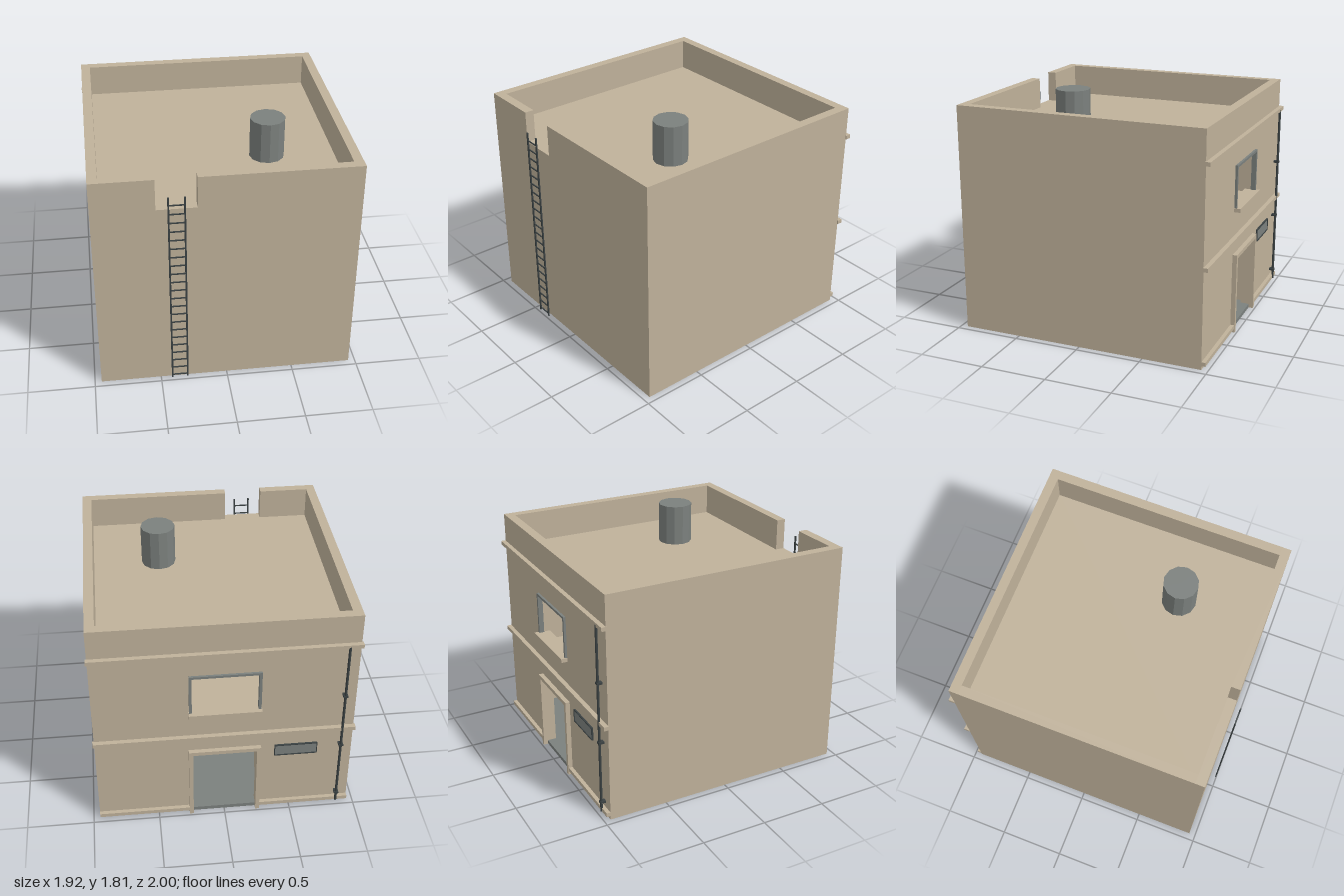
import * as THREE from 'three';

const mat = (name, color) => Object.assign(new THREE.MeshStandardMaterial({ color }), { name });
const plaster = mat('plaster', 0xbfb19a);
const grey = mat('grey metal', 0x7b807d);
const dark = mat('dark iron', 0x3b4243);

export function createModel() {
  const model = new THREE.Group();
  model.name = 'house';

  const add = (name, geometry, material, parent = model) => {
    const mesh = new THREE.Mesh(geometry, material);
    mesh.name = name;
    parent.add(mesh);
    return mesh;
  };
  // Box given by its lower and upper corners
  const box = (name, material, x0, y0, z0, x1, y1, z1, parent = model) => {
    const mesh = add(name, new THREE.BoxGeometry(x1 - x0, y1 - y0, z1 - z0), material, parent);
    mesh.position.set((x0 + x1) / 2, (y0 + y1) / 2, (z0 + z1) / 2);
    return mesh;
  };
  const group = (name) => {
    const g = new THREE.Group();
    g.name = name;
    model.add(g);
    return g;
  };
  const outline = (points) => points.map(([x, y]) => new THREE.Vector2(x, y));

  const W = 0.95, T = 0.07, I = W - T, H = 1.74, ROOF = 1.5;
  const extrude = (shape) => new THREE.ExtrudeGeometry(shape, { depth: T, bevelEnabled: false });

  // Front wall with the parapet gap for the ladder
  const front = new THREE.Shape(outline([[-W, 0], [W, 0], [W, H], [-0.21, H], [-0.21, ROOF], [-0.5, ROOF], [-0.5, H], [-W, H]]));
  add('frontWall', extrude(front), plaster).position.z = I;

  // Back wall with doorway and window opening
  const back = new THREE.Shape(outline([[-W, 0], [-0.24, 0], [-0.24, 0.6], [0.24, 0.6], [0.24, 0], [W, 0], [W, H], [-W, H]]));
  back.holes.push(new THREE.Path(outline([[-0.25, 0.99], [-0.25, 1.31], [0.25, 1.31], [0.25, 0.99]])));
  add('backWall', extrude(back), plaster).position.z = -W;

  // Side walls
  for (const s of [-1, 1]) {
    const c = s * (W - T / 2);
    box('sideWall', plaster, c - T / 2, 0, -I, c + T / 2, H, I);
  }

  // Floors and roof
  box('groundFloor', grey, -I, 0, -I, I, 0.03, I);
  box('doorThreshold', grey, -0.24, 0, -W, 0.24, 0.03, -I);
  box('upperFloor', plaster, -I, 0.73, -I, I, 0.77, I);
  box('roof', plaster, -I, ROOF - 0.04, -I, I, ROOF, I);

  // Inner partitions
  box('hallPartition', plaster, -0.33, 0.03, -I, -0.29, 0.73, -0.53);
  box('hallBackWall', plaster, 0.2, 0.03, -0.55, I, 0.73, -0.5);
  box('upperPartition', plaster, 0.55, 0.77, -I, 0.6, 1.46, -0.28);

  // Water tank on the roof
  const tank = add('roofTank', new THREE.CylinderGeometry(0.13, 0.13, 0.31, 12).toNonIndexed(), grey);
  tank.geometry.computeVertexNormals();
  tank.position.set(0.38, ROOF + 0.155, 0.29);

  // Ladder
  const ladder = group('ladder');
  for (const x of [-0.416, -0.302]) box('ladderRail', dark, x - 0.006, 0.03, 0.99, x + 0.006, 1.62, 1, ladder);
  for (let i = 0; i < 22; i++) {
    const y = 0.052 + i * 0.0717;
    box('ladderRung', dark, -0.416, y - 0.004, 0.991, -0.302, y + 0.004, 0.999, ladder);
  }

  // Back mouldings
  for (const y of [0.74, 1.487]) box('moulding', plaster, -0.96, y, -0.985, 0.96, y + 0.03, -0.945);
  box('baseMoulding', plaster, -W, 0.03, -0.98, -0.265, 0.06, -0.945);
  box('baseMoulding', plaster, 0.265, 0.03, -0.98, W, 0.06, -0.945);

  // Door frame
  const doorFrame = group('doorFrame');
  for (const x of [-0.252, 0.252]) box('doorPost', plaster, x - 0.015, 0, -0.985, x + 0.015, 0.595, -0.94, doorFrame);
  box('doorLintel', plaster, -0.267, 0.595, -0.985, 0.267, 0.625, -0.94, doorFrame);

  // Window frame and sill
  const windowFrame = group('windowFrame');
  for (const x of [-0.25, 0.25]) box('windowPost', grey, x - 0.01, 0.99, -0.968, x + 0.01, 1.315, -0.93, windowFrame);
  box('windowHead', grey, -0.24, 1.297, -0.968, 0.24, 1.315, -0.93, windowFrame);
  box('windowSill', plaster, -0.265, 0.96, -1, 0.265, 0.99, -0.94, windowFrame);

  // Small slit window beside the door
  const slit = group('slitWindow');
  box('slitPane', grey, -0.685, 0.527, -0.958, -0.375, 0.613, -0.95, slit);
  for (const y of [0.52, 0.613]) box('slitFrameBar', dark, -0.69, y, -0.964, -0.37, y + 0.007, -0.95, slit);
  for (const x of [-0.69, -0.375]) box('slitFrameSide', dark, x, 0.527, -0.964, x + 0.005, 0.613, -0.95, slit);

  // Drainpipe with clamps
  const drain = group('drainpipe');
  add('pipe', new THREE.CylinderGeometry(0.01, 0.01, 1.47, 8), dark, drain).position.set(-0.863, 0.765, -0.98);
  for (const y of [0.11, 0.6, 1.065]) box('pipeClamp', dark, -0.88, y - 0.008, -0.992, -0.846, y + 0.008, -0.95, drain);

  return model;
}
